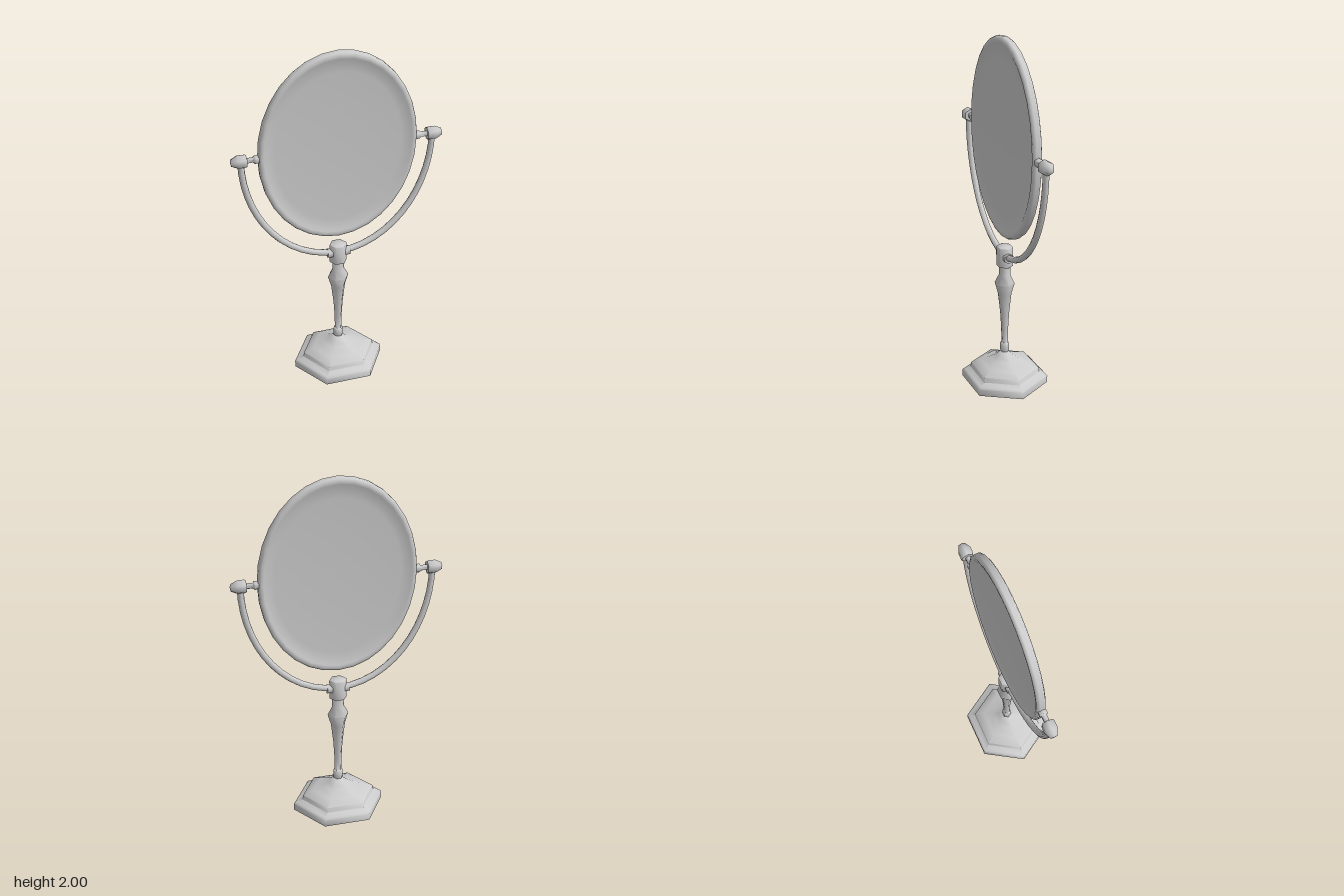
import * as THREE from 'three';
import { toCreasedNormals } from 'three/addons/utils/BufferGeometryUtils.js';

const material = new THREE.MeshStandardMaterial({ color: 0xcccccc });
const PIVOT_Y = 1.443;

// Turned solid from [radius, height] pairs, with a corner pointing along +x
function turned(profile, sides, crease = 1.1) {
  const points = profile.map(([r, y]) => new THREE.Vector2(r, y));
  return toCreasedNormals(new THREE.LatheGeometry(points, sides, Math.PI / 2), crease);
}

function part(name, geometry, parent) {
  const mesh = new THREE.Mesh(geometry, material);
  mesh.name = name;
  parent.add(mesh);
  return mesh;
}

export function createModel() {
  const model = new THREE.Group();
  model.name = 'tableMirror';

  // Six-sided stand, slightly flattened front to back
  const stand = new THREE.Group();
  stand.name = 'stand';
  stand.scale.z = 0.92;
  model.add(stand);

  part('base', turned([
    [0, 0], [0.263, 0], [0.263, 0.04], [0.25, 0.05], [0.213, 0.062], [0.208, 0.09],
    [0.15, 0.112], [0.09, 0.138], [0.05, 0.16], [0.025, 0.182], [0, 0.182],
  ], 6), stand);

  part('stem', turned([
    [0, 0.175], [0.024, 0.175], [0.028, 0.19], [0.028, 0.232], [0.02, 0.236],
    [0.021, 0.32], [0.027, 0.42], [0.041, 0.54], [0.06, 0.605], [0.034, 0.655],
    [0.034, 0.715], [0, 0.715],
  ], 6), stand);

  part('socket', turned([
    [0, 0.71], [0.05, 0.71], [0.05, 0.82], [0.045, 0.826], [0, 0.826],
  ], 6), stand);

  // Oval mirror with a rounded rim and a shallow dished face on both sides
  const face = [[0, 0.006], [0.45, 0.009], [0.8, 0.014], [0.91, 0.018],
    [0.935, 0.024], [0.965, 0.026], [0.99, 0.02], [1, 0.01]];
  const back = face.map(([r, z]) => [r, -z]);
  const mirrorGeometry = turned([...back, ...face.slice().reverse()], 32);
  mirrorGeometry.rotateX(Math.PI / 2);
  mirrorGeometry.scale(0.437, 0.557, 1);
  part('mirror', mirrorGeometry, model).position.y = PIVOT_Y;

  // Yoke arm, sleeve, pivot and knob, repeated on each side
  for (const side of ['left', 'right']) {
    const half = new THREE.Group();
    half.name = side + 'Yoke';
    half.rotation.y = side === 'left' ? 0 : Math.PI;
    model.add(half);

    const path = [];
    for (let i = 0; i <= 12; i++) {
      const a = (i / 12) * Math.PI / 2;
      path.push(new THREE.Vector3(0.528 * Math.sin(a), PIVOT_Y - 0.672 * Math.cos(a), 0));
    }
    part(side + 'Arm', new THREE.TubeGeometry(
      new THREE.CatmullRomCurve3(path), 13, 0.018, 8), half);

    const sleeve = turned([[0, 0.03], [0.028, 0.03], [0.028, 0.064], [0, 0.064]], 6);
    part(side + 'Sleeve', sleeve.rotateZ(-Math.PI / 2), half).position.y = 0.77;

    const pivot = turned([
      [0, 0.425], [0.024, 0.43], [0.026, 0.452], [0.016, 0.46], [0.016, 0.505], [0, 0.505],
    ], 6);
    part(side + 'Pivot', pivot.rotateZ(-Math.PI / 2), half).position.y = PIVOT_Y;

    const knob = turned([
      [0, 0.497], [0.035, 0.497], [0.039, 0.505], [0.039, 0.542], [0.021, 0.578], [0, 0.582],
    ], 6);
    part(side + 'Knob', knob.rotateZ(-Math.PI / 2), half).position.y = PIVOT_Y;
  }

  return model;
}
